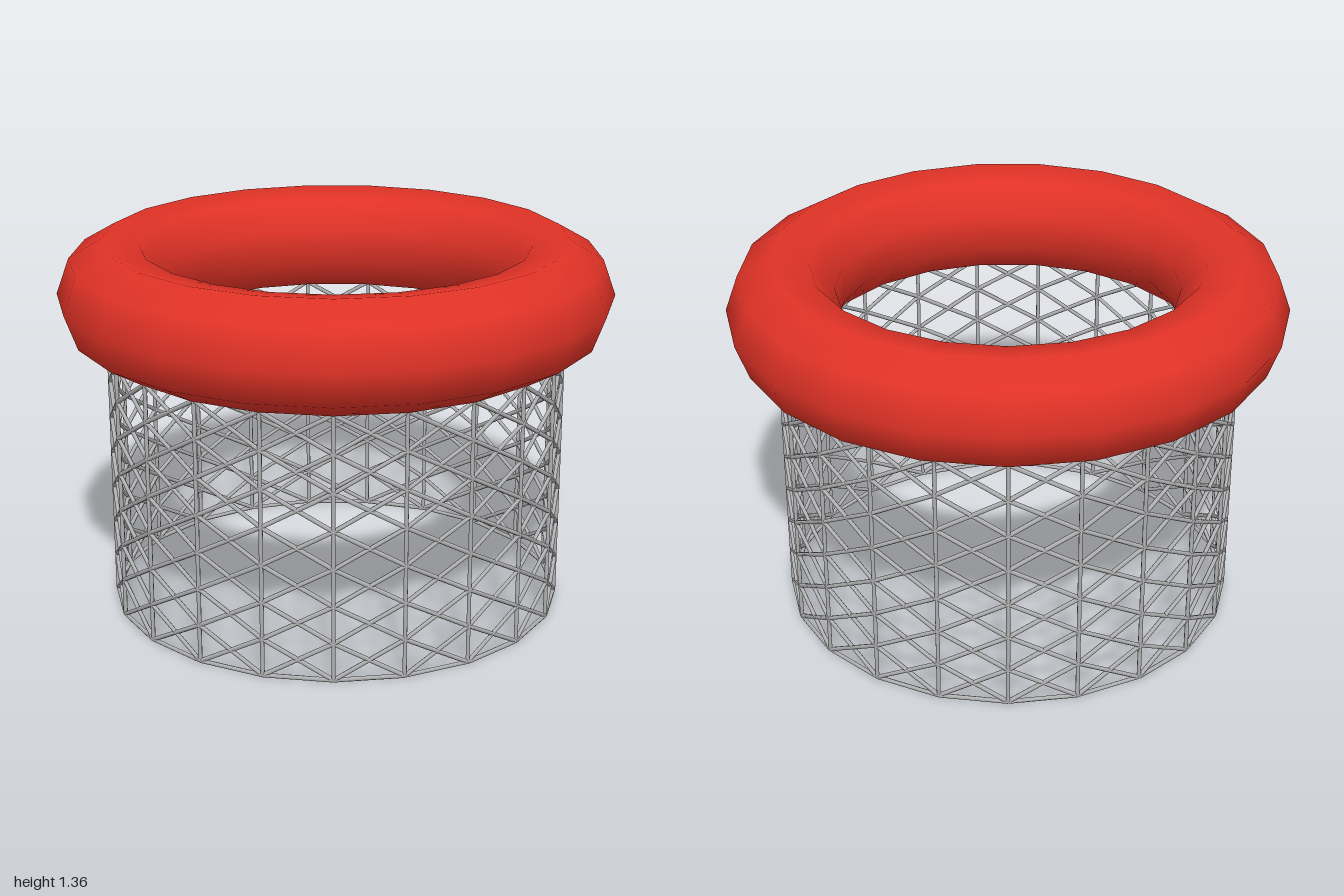
import * as THREE from 'three';
import { mergeGeometries } from 'three/addons/utils/BufferGeometryUtils.js';

const SIDES = 21;          // columns of the cage and segments of the ring
const ROWS = 7;            // braced rows of the cage
const CAGE_RADIUS = 0.825;
const CAGE_TOP = 0.965;
const WIRE = 0.008;
const OFFSET_X = -0.0056;  // centres the odd-sided ring

// Thin round bar between two points
function bar(a, b) {
  const dir = b.clone().sub(a);
  const g = new THREE.CylinderGeometry(WIRE, WIRE, dir.length(), 6, 1, true);
  g.applyQuaternion(new THREE.Quaternion().setFromUnitVectors(
    new THREE.Vector3(0, 1, 0), dir.clone().normalize()));
  const mid = a.clone().add(b).multiplyScalar(0.5);
  return g.translate(mid.x, mid.y, mid.z);
}

// Lattice node at a column and row
function node(col, row) {
  const t = (col / SIDES) * Math.PI * 2;
  const y = WIRE + (row / ROWS) * (CAGE_TOP - WIRE);
  return new THREE.Vector3(Math.cos(t) * CAGE_RADIUS, y, Math.sin(t) * CAGE_RADIUS);
}

export function createModel() {
  const model = new THREE.Group();
  model.name = 'ringOnWireCage';
  const red = new THREE.MeshStandardMaterial({ color: 0xe03226 });
  red.name = 'red';
  const steel = new THREE.MeshStandardMaterial({ color: 0xb2b2b4 });
  steel.name = 'steel grey';

  // Thick padded ring
  const ringGeo = new THREE.TorusGeometry(0.803, 0.2, 9, SIDES);
  ringGeo.rotateX(Math.PI / 2);
  const ring = new THREE.Mesh(ringGeo, red);
  ring.name = 'ring';
  ring.position.set(OFFSET_X, 1.162, 0);
  model.add(ring);

  // Cage: uprights, crossed braces in every cell, and a bottom hoop
  const parts = { uprights: [], crossBraces: [], bottomHoop: [] };
  for (let c = 0; c < SIDES; c++) {
    parts.uprights.push(bar(node(c, 0), node(c, ROWS)));
    parts.bottomHoop.push(bar(node(c, 0), node(c + 1, 0)));
    for (let r = 0; r < ROWS; r++) {
      parts.crossBraces.push(bar(node(c, r), node(c + 1, r + 1)));
      parts.crossBraces.push(bar(node(c + 1, r), node(c, r + 1)));
    }
  }
  const cage = new THREE.Group();
  cage.name = 'wireCage';
  cage.position.x = OFFSET_X;
  for (const [name, bars] of Object.entries(parts)) {
    const mesh = new THREE.Mesh(mergeGeometries(bars), steel);
    mesh.name = name;
    cage.add(mesh);
  }
  model.add(cage);
  return model;
}
